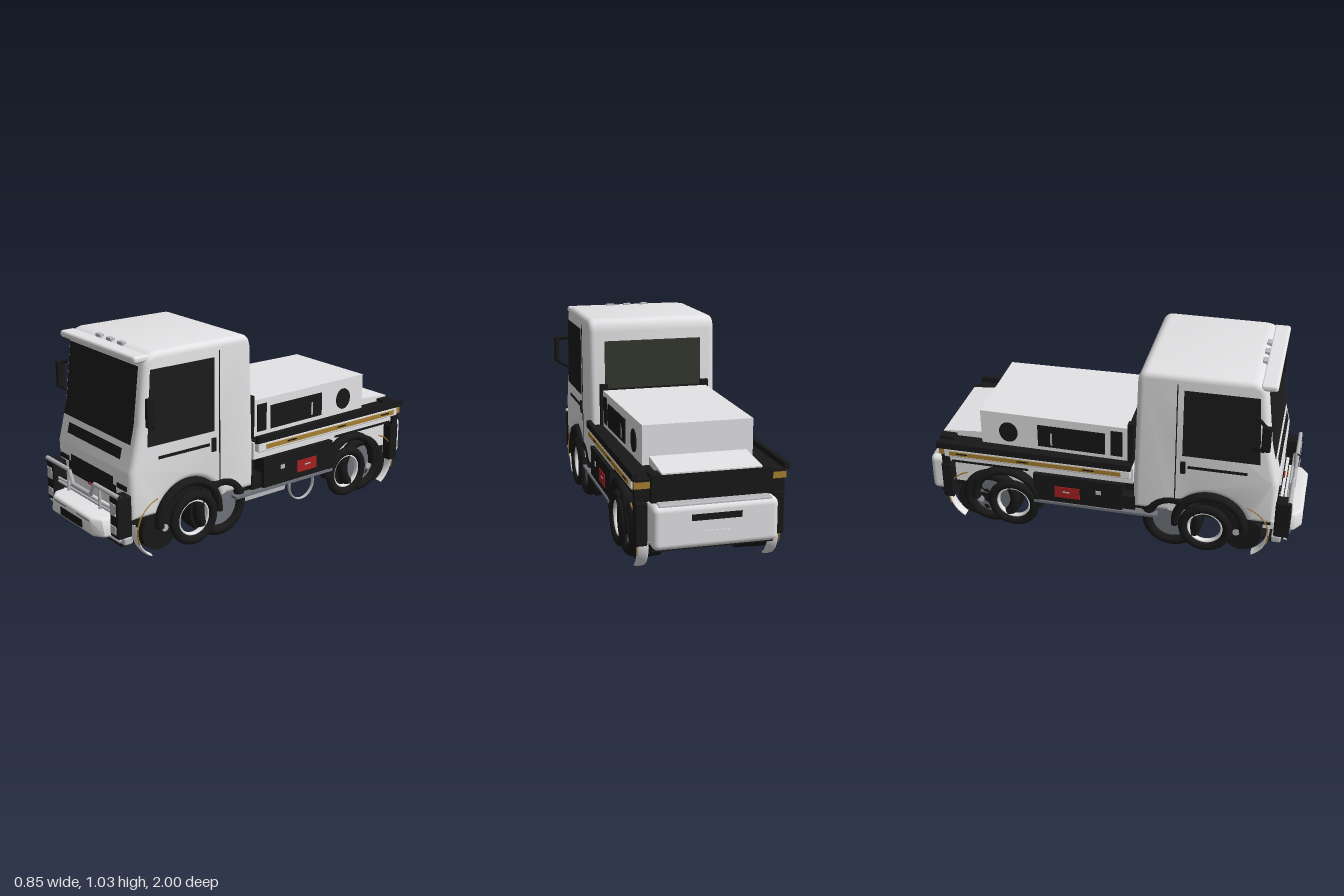
import * as THREE from 'three';
import { toCreasedNormals } from 'three/addons/utils/BufferGeometryUtils.js';
import { RoundedBoxGeometry } from 'three/addons/geometries/RoundedBoxGeometry.js';

export function createModel() {
  const truck = new THREE.Group();
  truck.name = 'truck';
  const mat = (name, color, side = THREE.FrontSide) => {
    const m = new THREE.MeshStandardMaterial({ color, side });
    m.name = name;
    return m;
  };
  const white = mat('white paint', 0xe4e4e6);
  const black = mat('black plastic', 0x181818);
  const glass = mat('dark glass', 0x1c1c1c, THREE.DoubleSide);
  const rearGlass = mat('green glass', 0x33372d);
  const grey = mat('grey metal', 0x6f737a);
  const silver = mat('silver trim', 0xb8b9bc);
  const red = mat('red', 0xa82022);
  const gold = mat('gold', 0xa88030);

  const add = (name, geo, material) => {
    const m = new THREE.Mesh(geo, material);
    m.name = name;
    truck.add(m);
    return m;
  };
  // Box given by its limits
  const boxGeo = (x0, x1, y0, y1, z0, z1, r = 0) => {
    const size = [x1 - x0, y1 - y0, z1 - z0];
    const g = r ? new RoundedBoxGeometry(...size, 3, r) : new THREE.BoxGeometry(...size);
    return g.translate((x0 + x1) / 2, (y0 + y1) / 2, (z0 + z1) / 2);
  };
  const box = (name, m, ...b) => add(name, boxGeo(...b), m);
  const pair = (name, m, x0, x1, ...rest) => {
    box(name + 'Left', m, x0, x1, ...rest);
    box(name + 'Right', m, -x1, -x0, ...rest);
  };
  const polygon = pts => new THREE.Shape(pts.map(p => new THREE.Vector2(...p)));
  // Side outline in (z, y), extruded across x and centred
  const across = (shape, width, bevel = 0) => {
    const g = new THREE.ExtrudeGeometry(shape, {
      depth: width - 2 * bevel, bevelEnabled: bevel > 0, bevelSize: bevel, bevelThickness: bevel,
      bevelOffset: -bevel, bevelSegments: 4, curveSegments: 20,
    });
    return g.translate(0, 0, -(width - 2 * bevel) / 2).rotateY(-Math.PI / 2);
  };
  // Straight tubes from point to point
  const tubes = (name, pts, r, m) => {
    const v = pts.map(p => new THREE.Vector3(...p));
    for (let i = 1; i < v.length; i++) add(name, new THREE.TubeGeometry(new THREE.LineCurve3(v[i - 1], v[i]), 1, r, 8), m);
  };

  // Cab shell with wheel arch
  const cab = new THREE.Shape();
  cab.moveTo(0.86, 0.22);
  cab.lineTo(0.865, 0.45);
  cab.quadraticCurveTo(0.835, 0.56, 0.81, 0.68);
  cab.lineTo(0.775, 0.97);
  cab.quadraticCurveTo(0.765, 1.02, 0.7, 1.025);
  cab.lineTo(0.2, 1.025);
  cab.quadraticCurveTo(0.152, 1.022, 0.147, 0.96);
  cab.lineTo(0.13, 0.42);
  cab.lineTo(0.13, 0.22);
  cab.lineTo(0.34, 0.22);
  cab.absarc(0.53, 0.16, 0.199, Math.PI - 0.31, 0.31, true);
  add('cab', toCreasedNormals(across(cab, 0.695, 0.03), 0.6), white);

  // Panels that follow the cab front
  const frontZ = y => y < 0.45 ? 0.865 : y < 0.68
    ? THREE.MathUtils.lerp(0.865, 0.81, (y - 0.45) / 0.23)
    : THREE.MathUtils.lerp(0.81, 0.775, (y - 0.68) / 0.29);
  const frontPanel = (name, m, w, y0, y1, lift = 0.008) => {
    const g = new THREE.PlaneGeometry(w, y1 - y0, 1, 8).translate(0, (y0 + y1) / 2, 0);
    const p = g.attributes.position;
    for (let i = 0; i < p.count; i++) p.setZ(i, frontZ(p.getY(i)) + lift);
    g.computeVertexNormals();
    add(name, g, m);
  };
  frontPanel('windscreen', glass, 0.62, 0.59, 0.96);
  frontPanel('upperGrille', glass, 0.494, 0.507, 0.56);
  frontPanel('lowerGrille', glass, 0.4, 0.31, 0.41);
  frontPanel('lowerGrilleBase', glass, 0.45, 0.305, 0.37, 0.007);
  pair('frontVent', black, 0.23, 0.31, 0.365, 0.388, 0.865, 0.872);
  box('sunVisor', white, -0.34, 0.34, 0.98, 1.015, 0.74, 0.825, 0.014);
  for (const x of [-0.1, 0, 0.1]) box('roofLamp', silver, x - 0.022, x + 0.022, 1.012, 1.031, 0.725, 0.75, 0.004);
  const rearWindow = add('rearWindow', new THREE.BoxGeometry(0.53, 0.27, 0.006).rotateX(0.033), rearGlass);
  rearWindow.position.set(0, 0.775, 0.138);

  // Door glass, seams and handles
  add('doorWindows', across(polygon([[0.77, 0.575], [0.38, 0.575], [0.38, 0.945], [0.745, 0.945]]), 0.702), glass);
  pair('doorSeam', black, 0.346, 0.35, 0.3, 0.975, 0.345, 0.35);
  pair('doorTrim', black, 0.346, 0.352, 0.503, 0.517, 0.41, 0.71);
  pair('doorHandle', black, 0.346, 0.354, 0.47, 0.54, 0.372, 0.398);

  // Mirrors
  for (const s of [1, -1]) {
    tubes('mirrorArm', [[s * 0.34, 0.843, 0.73], [s * 0.412, 0.828, 0.79]], 0.009, black);
    tubes('mirrorArm', [[s * 0.412, 0.695, 0.79], [s * 0.34, 0.662, 0.73]], 0.009, black);
  }
  pair('mirror', black, 0.4, 0.425, 0.695, 0.835, 0.77, 0.815, 0.008);

  // Front bumper, narrower towards its top
  const lip = polygon([[-0.25, 0.88], [0.25, 0.88], [0.235, 0.95], [0.19, 0.98], [-0.19, 0.98], [-0.235, 0.95]]);
  const lipGeo = new THREE.ExtrudeGeometry(lip, { depth: 0.064, bevelSize: 0.015, bevelThickness: 0.015, bevelSegments: 3 })
    .rotateX(Math.PI / 2).translate(0, 0.207, 0);
  const lipPos = lipGeo.attributes.position;
  for (let i = 0; i < lipPos.count; i++) {
    lipPos.setX(i, lipPos.getX(i) * (1 - 1.2 * Math.max(0, lipPos.getY(i) - 0.145)));
  }
  lipGeo.computeVertexNormals();
  add('frontBumper', toCreasedNormals(lipGeo, 0.6), white);
  box('numberPlate', black, -0.103, 0.103, 0.145, 0.185, 0.993, 1.0);
  pair('bumperSlot', grey, 0.05, 0.17, 0.2, 0.206, 0.988, 0.997);
  box('bumperBeam', silver, -0.33, 0.33, 0.1, 0.14, 0.85, 0.9, 0.01);
  box('lowerBeam', black, -0.29, 0.29, 0.078, 0.1, 0.8, 0.89);
  box('bumperCore', white, -0.27, 0.27, 0.14, 0.245, 0.8, 0.885);
  box('bumperGap', black, -0.265, 0.265, 0.216, 0.243, 0.884, 0.888);
  pair('goldTrim', gold, 0.1, 0.18, 0.225, 0.231, 0.887, 0.891);
  box('frontBadge', red, -0.025, 0.025, 0.304, 0.312, 0.873, 0.88);

  // Headlight towers and bull bar
  pair('headlightHousing', black, 0.268, 0.342, 0.145, 0.355, 0.86, 0.94, 0.01);
  for (const [y, h] of [[0.168, 0.042], [0.262, 0.06]]) pair('headlight', silver, 0.28, 0.325, y, y + h, 0.938, 0.944);
  tubes('bullBar', [[-0.345, 0.36, 0.93], [-0.12, 0.36, 0.93], [-0.085, 0.295, 0.93],
    [0.085, 0.295, 0.93], [0.12, 0.36, 0.93], [0.345, 0.36, 0.93]], 0.011, silver);
  for (const y of [0.25, 0.268]) tubes('crossBar', [[-0.27, y, 0.91], [0.27, y, 0.91]], 0.007, silver);
  for (const x of [-0.15, 0.15]) tubes('uprightBar', [[x, 0.24, 0.92], [x, 0.36, 0.92]], 0.008, silver);
  tubes('lowerBar', [[-0.34, 0.13, 0.92], [0.34, 0.13, 0.92]], 0.009, silver);

  // Chassis and tank
  box('chassis', black, -0.28, 0.28, 0.17, 0.4, -0.88, 0.84);
  const tank = polygon([[0.18, 0.2], [-0.22, 0.2], [-0.19, 0.085], [0.14, 0.085]]);
  add('tankSides', across(tank, 0.44), silver);
  add('tankCore', across(polygon([[0.186, 0.2], [-0.226, 0.2], [-0.195, 0.08], [0.145, 0.08]]), 0.43), black);

  // Deck with silver edge channel, raised side rails and lockers
  box('deck', white, -0.345, 0.345, 0.365, 0.455, -0.86, 0.13);
  pair('deckEdge', white, 0.33, 0.374, 0.408, 0.456, -0.88, 0.12, 0.006);
  pair('deckFloor', black, 0.24, 0.36, 0.45, 0.462, -0.92, 0.12);
  pair('sideRail', black, 0.35, 0.375, 0.455, 0.49, -0.92, 0.12);
  pair('goldStripe', gold, 0.37, 0.377, 0.42, 0.444, -0.85, 0.07);
  for (const z of [-0.78, -0.45, -0.1]) pair('stripeMark', black, 0.375, 0.379, 0.43, 0.437, z - 0.03, z + 0.03);
  pair('rearSidePanel', white, 0.28, 0.305, 0.22, 0.37, -0.86, -0.41);
  pair('deckSeam', black, 0.344, 0.348, 0.363, 0.375, -0.85, -0.43);
  pair('locker', black, 0.27, 0.362, 0.185, 0.36, -0.4, 0.075);
  pair('lockerSign', red, 0.361, 0.366, 0.235, 0.3, -0.285, -0.15);
  pair('lockerMark', silver, 0.361, 0.366, 0.282, 0.304, -0.065, -0.035);
  pair('lockerLight', silver, 0.361, 0.368, 0.268, 0.275, -0.24, -0.2);
  pair('sideStep', grey, 0.33, 0.37, 0.188, 0.202, -0.4, 0.26);
  pair('cabStep', black, 0.27, 0.345, 0.2, 0.28, 0.07, 0.14);

  // Rear equipment body, tapered towards the back
  const taper = g => {
    const p = g.attributes.position;
    for (let i = 0; i < p.count; i++) p.setX(i, p.getX(i) * (1 + 0.06 * (p.getZ(i) + 0.3)));
    g.computeVertexNormals();
    return g;
  };
  add('equipmentBody', taper(boxGeo(-0.28, 0.28, 0.44, 0.655, -0.7, 0.09)), white);
  for (const [z0, z1, y1] of [[-0.39, -0.03, 0.61], [0, 0.06, 0.63]]) {
    for (const x of [0.282, -0.282]) add('bodyPanel', taper(boxGeo(x - 0.003, x + 0.003, 0.485, y1, z0, z1)), black);
  }
  for (const s of [1, -1]) {
    add('bodyPort', new THREE.CylinderGeometry(0.05, 0.05, 0.008, 24).rotateZ(Math.PI / 2)
      .scale(1, 1.15, 1).translate(s * 0.277, 0.545, -0.55), black);
    box('panelLatch', silver, s * 0.284 - 0.003, s * 0.284 + 0.003, 0.5, 0.57, -0.322, -0.312);
  }
  box('bodyBulkhead', black, -0.3, 0.3, 0.45, 0.66, 0.09, 0.115);
  pair('bulkheadPost', black, 0.26, 0.3, 0.45, 0.685, 0.09, 0.12);

  // Lower rear step
  add('rearStep', across(polygon([[-0.925, 0.4], [-0.69, 0.4], [-0.69, 0.505], [-0.925, 0.485]]), 0.48), white);
  box('rearPanel', black, -0.29, 0.29, 0.35, 0.478, -0.932, -0.85);
  pair('rearRailEnd', gold, 0.29, 0.365, 0.415, 0.452, -0.91, -0.87);
  pair('rearCornerBlock', black, 0.27, 0.36, 0.35, 0.41, -0.9, -0.86);

  // Rear bumper and lamps
  box('rearBumper', white, -0.3, 0.3, 0.14, 0.35, -0.997, -0.87, 0.03);
  box('rearBumperLedge', silver, -0.27, 0.27, 0.33, 0.355, -0.985, -0.88, 0.008);
  box('rearSlot', black, -0.12, 0.12, 0.275, 0.305, -1.0, -0.996);
  box('rearPlate', white, -0.06, 0.06, 0.185, 0.225, -1.0, -0.996);
  box('rearUnderBeam', black, -0.29, 0.29, 0.125, 0.145, -0.95, -0.86);
  pair('rearLamp', black, 0.3, 0.36, 0.14, 0.35, -0.91, -0.85, 0.01);

  // Wheels, fender arches and curved mudguards; angles in degrees, 0 towards the back
  const ring = (name, m, x, y, z, outer, inner, width, from = 0, to = 360) => {
    const r = (outer - inner) / 2, rad = THREE.MathUtils.degToRad;
    add(name, new THREE.TorusGeometry(outer - r, r, 12, 40, rad(to - from)).rotateZ(rad(from))
      .scale(1, 1, width / (2 * r)).rotateY(Math.PI / 2).translate(x, y, z), m);
  };
  const disc = (name, m, x, y, z, r, w) =>
    add(name, new THREE.CylinderGeometry(r, r, w, 32).rotateZ(Math.PI / 2).translate(x, y, z), m);
  const axles = [
    { fender: 0.53, near: 0.51, far: 0.335, hub: 0.7, cap: 0.67, guard: 0.675, low: [168, 239], high: [105, 200] },
    { fender: -0.555, near: -0.52, far: -0.645, hub: -0.74, cap: -0.71, guard: -0.725, low: [-59, 12], high: [-20, 75] },
  ];
  for (const s of [1, -1]) {
    for (const a of axles) {
      ring('fenderArch', black, s * 0.338, 0.165, a.fender, 0.2, 0.155, 0.06, -5, 185);
      ring('outerTyre', black, s * 0.35, 0.152, a.near, 0.14, 0.092, 0.04);
      ring('outerRim', white, s * 0.34, 0.152, a.near, 0.096, 0.08, 0.03);
      ring('tyre', black, s * 0.325, 0.165, a.far, 0.158, 0.1, 0.06);
      disc('wheelDisc', grey, s * 0.315, 0.165, a.far, 0.11, 0.03);
      disc('innerTyre', black, s * 0.245, 0.158, a.far, 0.158, 0.1);
      disc('hub', black, s * 0.29, 0.13, a.hub, 0.1, 0.08);
      disc('hubCap', silver, s * 0.332, 0.135, a.cap, 0.018, 0.006);
      ring('mudguard', white, s * 0.317, 0.15, a.guard, 0.164, 0.15, 0.056, ...a.low);
      ring('mudguardEdge', gold, s * 0.346, 0.15, a.guard, 0.164, 0.157, 0.008, ...a.high);
    }
  }
  ring('spareRing', silver, 0.24, 0.1, -0.29, 0.09, 0.08, 0.02);
  return truck;
}
